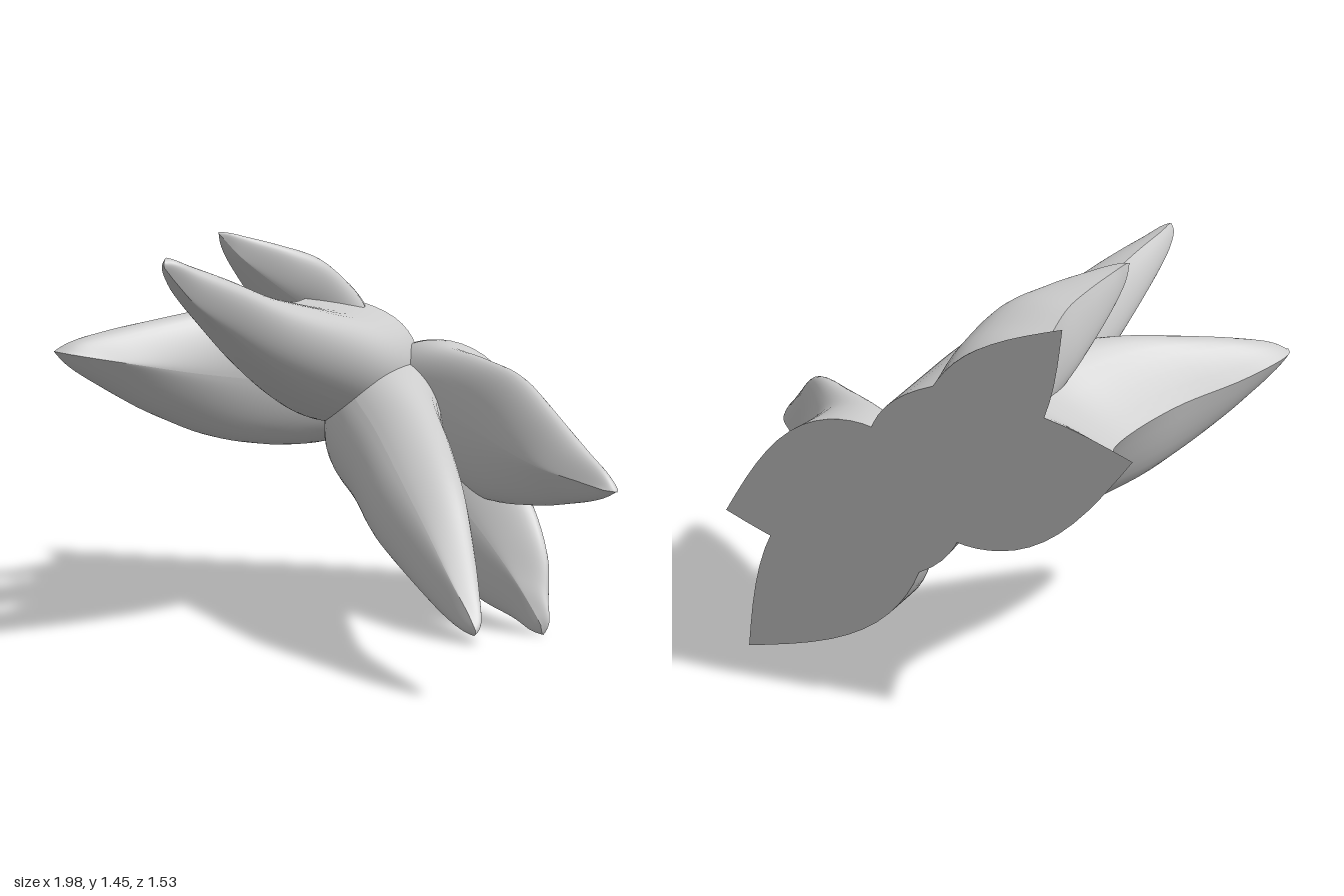
import * as THREE from 'three';
import { mergeGeometries } from 'three/addons/utils/BufferGeometryUtils.js';

// Each petal is a row of slices from the flat back to the tip:
// [z, outer keel x, y, inner ridge x, y, half width]
const PETALS = {
  upperPetal: [
    [-0.77, -0.455, 1.39, -0.04, 0.91, 0.17],
    [-0.68, -0.39, 1.325, -0.05, 0.94, 0.17],
    [-0.58, -0.37, 1.32, -0.08, 1.01, 0.17],
    [-0.46, -0.385, 1.365, -0.19, 1.14, 0.16],
    [-0.36, -0.43, 1.405, -0.29, 1.23, 0.12],
    [-0.28, -0.48, 1.44, -0.39, 1.32, 0.07],
    [-0.24, -0.51, 1.46, -0.45, 1.38, 0.035],
    [-0.22, -0.52, 1.46, -0.51, 1.45, 0],
  ],
  upperFrontPetal: [
    [-0.77, -0.22, 1.21, 0.1, 0.74, 0.21],
    [-0.5, -0.22, 1.205, 0.08, 0.75, 0.215],
    [-0.2, -0.23, 1.2, 0.03, 0.79, 0.22],
    [0.05, -0.265, 1.225, -0.06, 0.88, 0.195],
    [0.28, -0.325, 1.27, -0.19, 1.0, 0.145],
    [0.46, -0.39, 1.33, -0.3, 1.13, 0.1],
    [0.59, -0.44, 1.37, -0.38, 1.23, 0.06],
    [0.66, -0.46, 1.39, -0.43, 1.31, 0.03],
    [0.69, -0.46, 1.375, -0.46, 1.36, 0],
  ],
  rightPetal: [
    [-0.77, -0.68, 1.0, 0.05, 0.8, 0.24],
    [-0.67, -0.6, 0.97, 0.04, 0.81, 0.26],
    [-0.54, -0.575, 0.955, 0.02, 0.84, 0.275],
    [-0.35, -0.62, 0.96, -0.14, 0.88, 0.285],
    [-0.15, -0.71, 0.975, -0.35, 0.91, 0.255],
    [0.04, -0.85, 1.0, -0.54, 0.95, 0.18],
    [0.18, -0.95, 1.03, -0.7, 0.99, 0.105],
    [0.27, -0.99, 1.045, -0.83, 1.02, 0.05],
    [0.32, -0.98, 1.05, -0.92, 1.04, 0],
  ],
  leftPetal: [
    [-0.77, 0.71, 0.64, 0, 0.85, 0.25],
    [-0.67, 0.635, 0.67, 0.02, 0.84, 0.25],
    [-0.55, 0.6, 0.685, 0.1, 0.81, 0.25],
    [-0.38, 0.64, 0.69, 0.29, 0.77, 0.25],
    [-0.2, 0.73, 0.665, 0.45, 0.73, 0.245],
    [-0.02, 0.85, 0.63, 0.6, 0.68, 0.175],
    [0.11, 0.94, 0.61, 0.72, 0.645, 0.105],
    [0.2, 0.985, 0.6, 0.85, 0.62, 0.05],
    [0.245, 0.985, 0.595, 0.94, 0.6, 0],
  ],
  lowerFrontPetal: [
    [-0.77, 0.29, 0.44, -0.06, 0.93, 0.215],
    [-0.45, 0.3, 0.44, -0.05, 0.92, 0.225],
    [-0.15, 0.325, 0.43, 0.0, 0.88, 0.225],
    [0.1, 0.365, 0.41, 0.13, 0.77, 0.2],
    [0.33, 0.4, 0.36, 0.25, 0.64, 0.175],
    [0.52, 0.46, 0.29, 0.37, 0.49, 0.12],
    [0.66, 0.515, 0.235, 0.46, 0.37, 0.07],
    [0.73, 0.54, 0.215, 0.52, 0.29, 0.035],
    [0.765, 0.55, 0.225, 0.55, 0.24, 0],
  ],
  lowerPetal: [
    [-0.77, 0.66, 0.13, 0.05, 0.78, 0.24],
    [-0.68, 0.59, 0.21, 0.07, 0.76, 0.25],
    [-0.56, 0.56, 0.24, 0.14, 0.68, 0.255],
    [-0.4, 0.575, 0.235, 0.25, 0.58, 0.25],
    [-0.25, 0.635, 0.185, 0.38, 0.47, 0.225],
    [-0.13, 0.69, 0.1, 0.52, 0.33, 0.165],
    [-0.05, 0.725, 0.035, 0.63, 0.2, 0.08],
    [-0.01, 0.74, 0.01, 0.7, 0.1, 0.04],
    [0.005, 0.735, 0.02, 0.73, 0.05, 0],
  ],
};

// Smooth sheet from a rule f(u, v) -> Vector3
function sheet(f, nu, nv, flip) {
  const pos = [], idx = [];
  for (let i = 0; i <= nu; i++)
    for (let j = 0; j <= nv; j++) pos.push(...f(i / nu, j / nv).toArray());
  for (let i = 0; i < nu; i++)
    for (let j = 0; j < nv; j++) {
      const a = i * (nv + 1) + j, b = a + nv + 1;
      if (flip) idx.push(a, a + 1, b, b, a + 1, b + 1);
      else idx.push(a, b, a + 1, b, b + 1, a + 1);
    }
  const g = new THREE.BufferGeometry();
  g.setAttribute('position', new THREE.Float32BufferAttribute(pos, 3));
  g.setIndex(idx);
  g.computeVertexNormals();
  return g;
}

// Half width across a slice: pointed at the keel, blunt inside near the
// back, and turning into a lens with two sharp edges towards the tip
function section(t, s) {
  const lens = Math.max(Math.sin(Math.PI * Math.pow(s, 0.9)), 0);
  const blunt = s < 0.6
    ? Math.sin((Math.PI / 2) * (s / 0.6))
    : Math.sqrt(Math.max(1 - ((s - 0.6) / 0.4) ** 2, 0));
  return THREE.MathUtils.lerp(blunt, lens, THREE.MathUtils.smoothstep(t, 0.3, 0.9));
}

function petalGeometry(rows) {
  const spline = (pick) => new THREE.CatmullRomCurve3(
    rows.map((r) => new THREE.Vector3(...pick(r))), false, 'catmullrom', 0.5);
  const keel = spline(([z, ox, oy]) => [ox, oy, z]);
  const ridge = spline((r) => [r[3], r[4], r[5]]); // z holds the half width

  const point = (t, q, side) => {
    const s = Math.sin((q * Math.PI) / 2); // closer points at the inner end
    const o = keel.getPoint(t), i = ridge.getPoint(t);
    const dx = i.x - o.x, dy = i.y - o.y, len = Math.hypot(dx, dy) || 1;
    const v = side * Math.max(i.z, 0) * section(t, s);
    return new THREE.Vector3(o.x + dx * s - (dy / len) * v, o.y + dy * s + (dx / len) * v, o.z);
  };

  return mergeGeometries([
    sheet((t, q) => point(t, q, 1), 40, 20, false),
    sheet((t, q) => point(t, q, -1), 40, 20, true),
    sheet((k, q) => point(0, q, 2 * k - 1), 1, 20, false), // flat back
  ]);
}

export function createModel() {
  const model = new THREE.Group();
  model.name = 'petalCluster';
  const material = new THREE.MeshStandardMaterial({ color: 0xcccccc });
  for (const [name, rows] of Object.entries(PETALS)) {
    const mesh = new THREE.Mesh(petalGeometry(rows), material);
    mesh.name = name;
    model.add(mesh);
  }
  return model;
}
